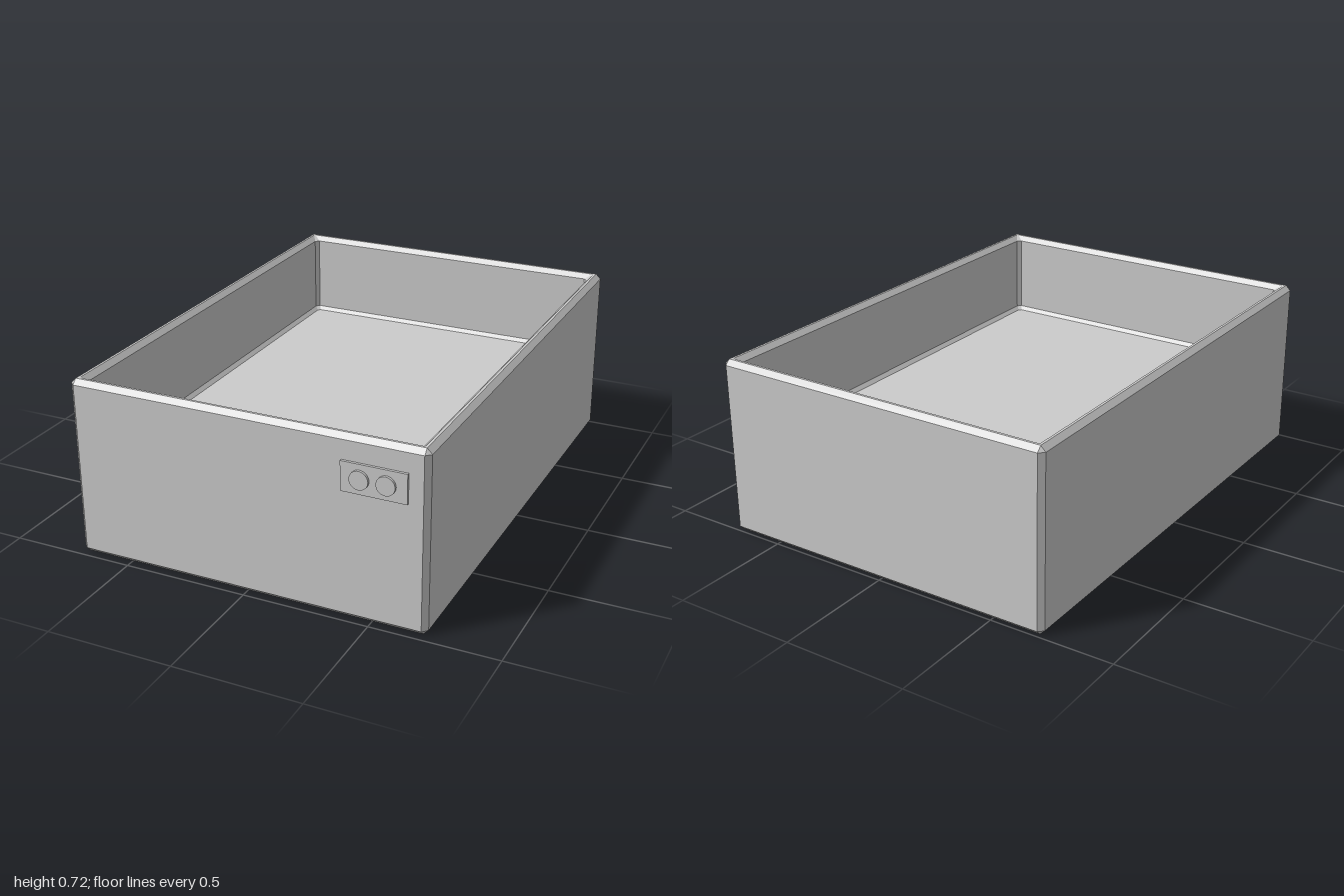
import * as THREE from 'three';

const HALF_X = 0.715, HALF_Z = 0.99, CENTRE_Z = -0.01;

// One octagonal ring: a rectangle pulled in by `inset`, its corners cut by `cut`
function ring(y, inset, cut) {
  const x = HALF_X - inset, z = HALF_Z - inset;
  return [
    [x, -z + cut], [x, z - cut], [x - cut, z], [-x + cut, z],
    [-x, z - cut], [-x, -z + cut], [-x + cut, -z], [x - cut, -z],
  ].map(([px, pz]) => new THREE.Vector3(px, y, pz + CENTRE_Z));
}

const centreRing = (y) => Array.from({ length: 8 }, () => new THREE.Vector3(0, y, CENTRE_Z));

// Join consecutive rings with flat faces, leaving out collapsed triangles
function skin(rings) {
  const points = [];
  const face = (a, b, c) => {
    const area = b.clone().sub(a).cross(c.clone().sub(a)).length();
    if (area > 1e-7) points.push(a, b, c);
  };
  for (let r = 0; r < rings.length - 1; r++) {
    const a = rings[r], b = rings[r + 1];
    for (let i = 0; i < 8; i++) {
      const j = (i + 1) % 8;
      face(a[i], b[i], a[j]);
      face(b[i], b[j], a[j]);
    }
  }
  const geometry = new THREE.BufferGeometry().setFromPoints(points);
  geometry.computeVertexNormals();
  return geometry;
}

export function createModel() {
  const model = new THREE.Group();
  model.name = 'openTray';
  const grey = new THREE.MeshStandardMaterial({ color: 0xcccccc });
  grey.name = 'light grey';

  const add = (name, geometry, x = 0, y = 0, z = 0) => {
    const mesh = new THREE.Mesh(geometry, grey);
    mesh.name = name;
    mesh.position.set(x, y, z);
    model.add(mesh);
    return mesh;
  };

  // Bevelled open box: underside, outer walls, rim, inner walls, raised floor
  add('body', skin([
    centreRing(0),
    ring(0, 0.02, 0),
    ring(0.02, 0, 0.02),
    ring(0.70, 0, 0.02),
    ring(0.72, 0.02, 0),
    ring(0.72, 0.03, 0.005),
    ring(0.70, 0.05, 0.015),
    ring(0.375, 0.05, 0.015),
    ring(0.36, 0.065, 0.01),
    centreRing(0.36),
  ]));

  // Control plate with two round buttons on the front wall
  add('controlPlate', new THREE.BoxGeometry(0.25, 0.115, 0.016), 0.515, 0.567, 0.982);
  for (const [name, x] of [['rightButton', 0.463], ['leftButton', 0.563]]) {
    const button = new THREE.CylinderGeometry(0.036, 0.036, 0.015, 32).rotateX(Math.PI / 2);
    add(name, button, x, 0.567, 0.9925);
  }
  return model;
}
